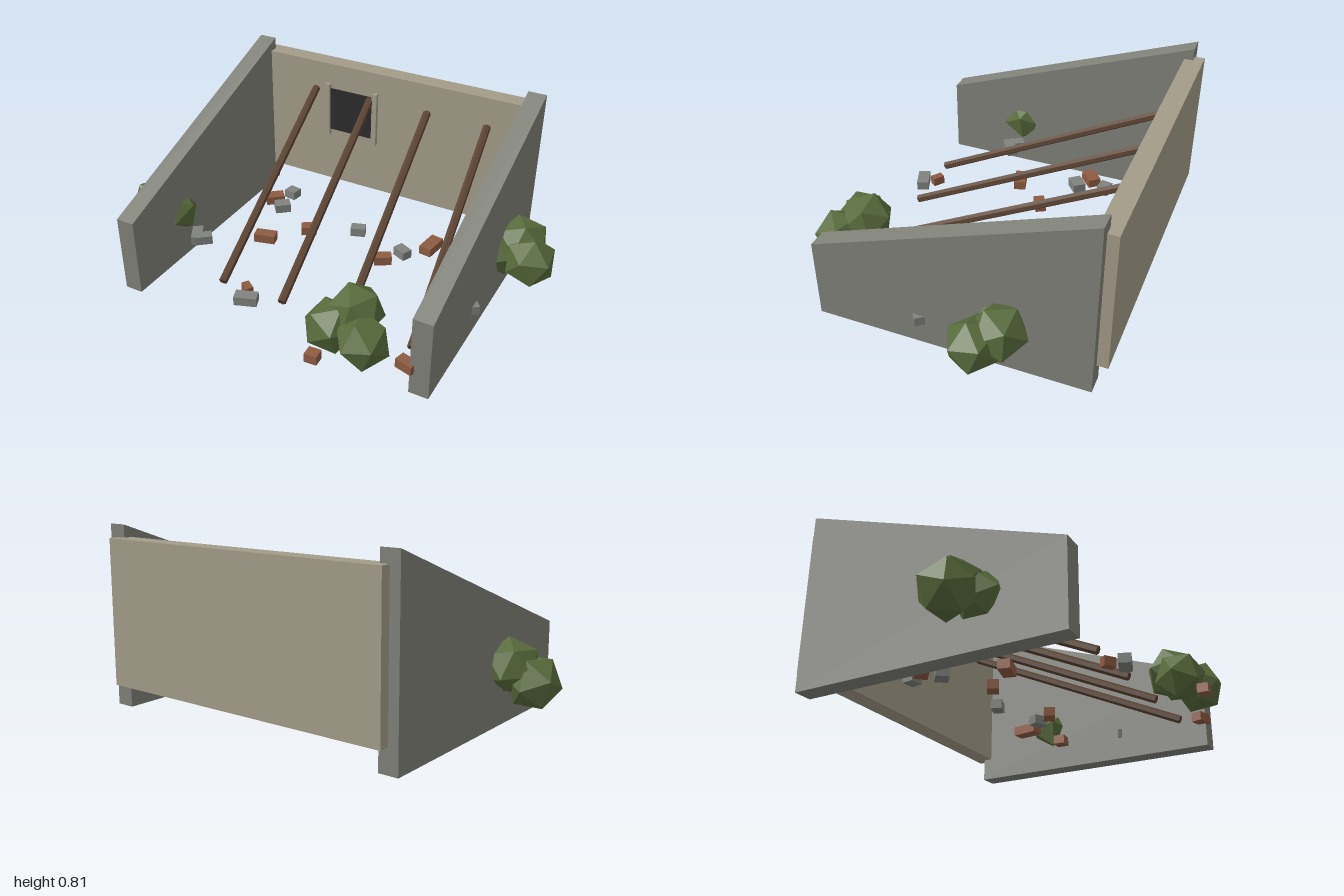
import * as THREE from 'three';

const mat = (name, color, extra = {}) => {
  const m = new THREE.MeshStandardMaterial({ color, flatShading: true, ...extra });
  m.name = name;
  return m;
};

export function createModel() {
  const model = new THREE.Group();
  model.name = 'ruin';
  const concrete = mat('concrete', 0x7f8078);
  const plaster = mat('plaster', 0xa39b88);
  const dark = mat('dark opening', 0x2b2b2b);
  const wood = mat('wood', 0x5c4433);
  const brick = mat('brick', 0x8e5b42);
  const stone = mat('stone', 0x7f827f);
  const leaf = mat('leaves', 0x586b3c);

  const add = (name, geo, material, x = 0, y = 0, z = 0, parent = model) => {
    const mesh = new THREE.Mesh(geo, material);
    mesh.name = name;
    mesh.position.set(x, y, z);
    parent.add(mesh);
    return mesh;
  };
  const box = (w, h, d) => new THREE.BoxGeometry(w, h, d);

  // Sloping side walls: profile in z/y, extruded across x
  const profile = new THREE.Shape([
    new THREE.Vector2(-0.665, 0), new THREE.Vector2(0.55, 0),
    new THREE.Vector2(0.55, 0.37), new THREE.Vector2(-0.665, 0.812),
  ]);
  const wallGeo = new THREE.ExtrudeGeometry(profile, { depth: 0.086, bevelEnabled: false });
  wallGeo.rotateY(-Math.PI / 2);
  add('leftWall', wallGeo, concrete, 0.755);
  add('rightWall', wallGeo, concrete, -0.669);

  // Back wall with a dark window between two posts
  add('backWall', box(1.42, 0.65, 0.088), plaster, 0, 0.43, -0.668);
  add('windowOpening', box(0.235, 0.225, 0.009), dark, -0.202, 0.512, -0.62);
  for (const x of [-0.333, -0.071]) {
    add('windowPost', box(0.026, 0.28, 0.022), plaster, x, 0.51, -0.615);
  }

  // Fallen roof beams leaning on the back wall
  const up = new THREE.Vector3(0, 1, 0);
  for (const x of [-0.403, -0.1, 0.205, 0.508]) {
    const a = new THREE.Vector3(x, 0.612, -0.62);
    const b = new THREE.Vector3(x + 0.12, 0.128, 0.442);
    const dir = a.clone().sub(b);
    const mid = a.clone().add(b).multiplyScalar(0.5);
    const beam = add('roofBeam', new THREE.CylinderGeometry(0.019, 0.019, dir.length(), 6), wood, ...mid);
    beam.quaternion.setFromUnitVectors(up, dir.normalize());
  }

  // Rubble blocks: material, x, z, width, depth, turn in degrees
  const rubble = [
    [brick, -0.455, -0.275, 0.09, 0.06, 40], [stone, -0.4, -0.36, 0.06, 0.055, -8],
    [stone, -0.38, -0.225, 0.075, 0.06, 40], [brick, -0.162, -0.11, 0.07, 0.05, 30],
    [brick, -0.31, 0.045, 0.1, 0.055, 15], [brick, -0.162, 0.43, 0.055, 0.035, -35],
    [stone, -0.13, 0.49, 0.1, 0.055, 20], [stone, 0.052, -0.215, 0.07, 0.05, 20],
    [brick, 0.257, -0.06, 0.08, 0.05, 30], [stone, 0.315, -0.15, 0.07, 0.05, -25],
    [brick, 0.412, -0.26, 0.06, 0.115, -8], [brick, 0.627, -0.19, 0.06, 0.055, 5],
    [stone, 0.72, 0.097, 0.115, 0.055, 38], [brick, 0.65, 0.535, 0.08, 0.05, -15],
    [brick, 0.303, 0.67, 0.055, 0.05, 3], [brick, 0.805, -0.295, 0.06, 0.055, 5],
    [stone, -0.6, 0.195, 0.1, 0.05, -60], [stone, -0.56, 0.2, 0.08, 0.05, 40],
  ];
  for (const [m, x, z, w, d, turn] of rubble) {
    add(m === brick ? 'brickRubble' : 'stoneRubble', box(w, 0.042, d), m, x, 0.125, z)
      .rotation.y = THREE.MathUtils.degToRad(turn);
  }

  // Bushes: clusters of three faceted lobes [x, y, z, radius]
  const bushes = [
    [[-0.88, 0.2, 0.13, 0.122], [-0.8, 0.26, 0.105, 0.122], [-0.73, 0.225, 0.18, 0.113]],
    [[0.89, 0.227, -0.225, 0.118], [0.825, 0.26, -0.305, 0.122], [0.735, 0.21, -0.275, 0.118]],
    [[0.322, 0.21, 0.56, 0.116], [0.405, 0.27, 0.495, 0.122], [0.482, 0.213, 0.588, 0.118]],
  ];
  bushes.forEach((lobes, i) => {
    const bush = new THREE.Group();
    bush.name = 'bush';
    model.add(bush);
    lobes.forEach(([x, y, z, r], j) => {
      add('bushLobe', new THREE.IcosahedronGeometry(r, 0), leaf, x, y, z, bush)
        .rotation.set(0.4 + j * 0.9 + i * 0.3, i * 1.3 + j * 0.7, j * 0.5);
    });
  });

  return model;
}
